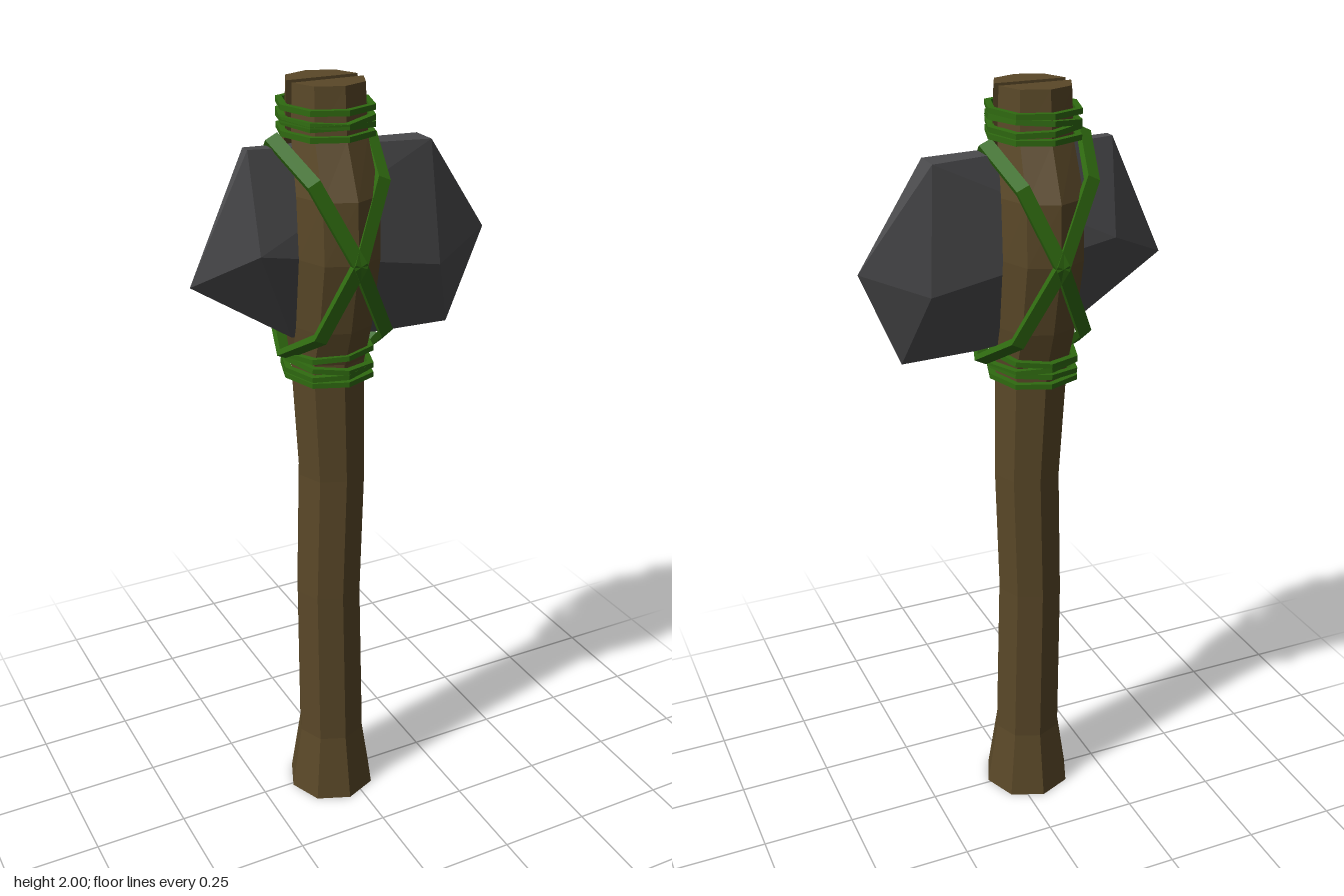
import * as THREE from 'three';
import { ConvexGeometry } from 'three/addons/geometries/ConvexGeometry.js';

const paint = (color) => new THREE.MeshStandardMaterial({ color, flatShading: true });
const CX = -0.045;

// Skin a stack of equal-length rings (listed bottom to top) and cap both ends
function loft(rings) {
  const out = [];
  const n = rings[0].length;
  const tri = (...pts) => pts.forEach((p) => out.push(...p));
  for (let k = 0; k < rings.length - 1; k++) {
    const a = rings[k], b = rings[k + 1];
    for (let i = 0; i < n; i++) {
      const j = (i + 1) % n;
      tri(a[i], b[i], a[j]);
      tri(a[j], b[i], b[j]);
    }
  }
  const bottom = rings[0], top = rings[rings.length - 1];
  for (let i = 1; i < n - 1; i++) {
    tri(bottom[0], bottom[i], bottom[i + 1]);
    tri(top[0], top[i + 1], top[i]);
  }
  const geo = new THREE.BufferGeometry();
  geo.setAttribute('position', new THREE.Float32BufferAttribute(out, 3));
  geo.computeVertexNormals();
  return geo;
}

// Flat octagonal hoop in the xy plane, from its quarter outline
function hoop(rx, ry, dx, dy, thick, width) {
  const outline = (t) => {
    const x = rx - t, y = ry - t, u = dx - t * 0.7, v = dy - t * 0.7;
    return [[x, 0], [u, v], [0, y], [-u, v], [-x, 0], [-u, -v], [0, -y], [u, -v]]
      .map(([px, py]) => new THREE.Vector2(px, py));
  };
  const shape = new THREE.Shape(outline(0));
  shape.holes.push(new THREE.Path(outline(thick)));
  return new THREE.ExtrudeGeometry(shape, { depth: width, bevelEnabled: false })
    .translate(0, 0, -width / 2);
}

export function createModel() {
  const group = new THREE.Group();
  const wood = paint(0x5a4828), vine = paint(0x2f6a10), rock = paint(0x4a4a4c);
  const add = (name, geo, mat) => {
    const mesh = new THREE.Mesh(geo, mat);
    mesh.name = name;
    group.add(mesh);
    return mesh;
  };

  // Handle: slightly crooked octagonal shaft with a flared foot [y, cx, cz, r]
  const shaft = [
    [0, -0.042, 0.008, 0.122], [0.19, -0.042, 0.008, 0.093], [0.65, -0.047, 0.006, 0.089],
    [1.0, -0.036, 0.005, 0.09], [1.33, -0.047, 0.004, 0.098],
  ];
  add('handle', loft(shaft.map(([y, cx, cz, r]) =>
    Array.from({ length: 8 }, (_, i) => {
      const a = i * Math.PI / 4;
      return [cx + r * Math.cos(a), y, cz + r * Math.sin(a)];
    }))), wood);

  // Split top: two bowed prongs gripping the stone [y, half width, inner z, outer z]
  const prong = [
    [1.32, 0.098, 0.002, 0.1], [1.42, 0.1, 0.035, 0.135], [1.6, 0.104, 0.066, 0.172],
    [1.75, 0.104, 0.056, 0.168], [1.88, 0.096, 0.016, 0.112], [2.0, 0.092, 0.015, 0.102],
  ];
  for (const side of [1, -1]) {
    add(side > 0 ? 'frontProng' : 'backProng', loft(prong.map(([y, hx, zi, zo]) =>
      Array.from({ length: 5 }, (_, i) => {
        const a = i * Math.PI / 4 + (side > 0 ? 0 : Math.PI);
        return [CX + hx * Math.cos(a), y, side * zi + (zo - zi) * Math.sin(a)];
      }))), wood);
  }

  // Stone head: chipped double-pointed blade
  const stone = [
    [-0.4, 1.55, 0], [0.4, 1.59, 0], [0.3, 1.35, 0], [0.1, 1.355, 0], [-0.14, 1.38, 0],
    [-0.25, 1.86, 0.014], [-0.25, 1.86, -0.014], [0.22, 1.84, 0.038], [0.22, 1.84, -0.034],
    [-0.245, 1.62, 0.064], [-0.245, 1.62, -0.06], [0.24, 1.53, 0.064], [0.24, 1.53, -0.06],
  ];
  add('stoneHead', new ConvexGeometry(stone.map((p) => new THREE.Vector3(...p))), rock);

  // Vine wraps above and below the stone [y, tilt about z, tilt about x]
  const wraps = [
    [1.944, 0, 0], [1.92, 0.08, 0.06], [1.908, -0.07, -0.03], [1.884, 0, 0],
    [1.344, 0.05, -0.06], [1.32, -0.08, 0.05], [1.305, 0.06, 0.02], [1.283, 0, 0],
  ];
  wraps.forEach(([y, tz, tx], i) => {
    const geo = hoop(0.114, 0.127, 0.084, 0.094, 0.017, 0.013).rotateX(-Math.PI / 2);
    const mesh = add(i < 4 ? 'upperWrap' : 'lowerWrap', geo, vine);
    mesh.position.set(CX, y, -0.002);
    mesh.rotation.set(tx, 0, tz);
  });

  // Crossed vine loops around the prongs
  for (const [tilt, reach] of [[0.46, 0.312], [-0.42, 0.295]]) {
    const geo = hoop(0.185, reach, 0.138, reach * 0.7, 0.018, 0.034).rotateY(Math.PI / 2);
    const mesh = add('crossLoop', geo, vine);
    mesh.position.set(CX, 1.602, 0);
    mesh.rotation.z = tilt;
  }

  return group;
}
